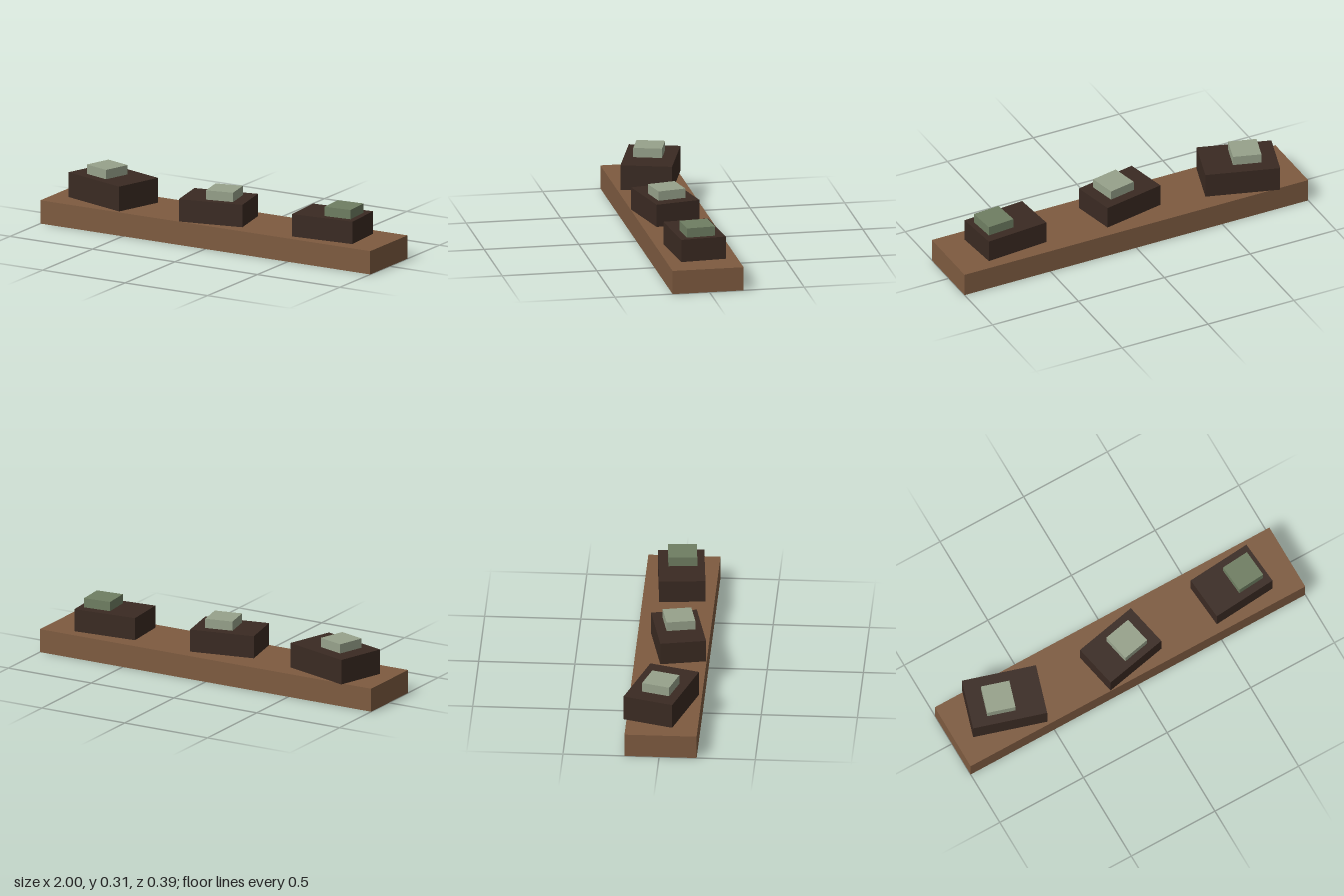
import * as THREE from 'three';

const material = (name, color) => {
  const m = new THREE.MeshStandardMaterial({ color, side: THREE.DoubleSide });
  m.name = name;
  return m;
};

// Box standing on y = 0, without its bottom face
function openBox(w, h, d) {
  const geo = new THREE.BoxGeometry(w, h, d).translate(0, h / 2, 0);
  const index = Array.from(geo.index.array);
  index.splice(18, 6); // the -y face
  geo.setIndex(index);
  geo.clearGroups();
  return geo;
}

export function createModel() {
  const model = new THREE.Group();
  model.name = 'ledgeWithBlocks';

  const wood = material('wood brown', 0x7e5b40);
  const dark = material('dark brown', 0x3a2a22);
  const paleGreen = material('pale green', 0x97a28b);
  const mossGreen = material('moss green', 0x6f7e62);

  const add = (name, size, mat, x, y, z, turn = 0) => {
    const mesh = new THREE.Mesh(openBox(...size), mat);
    mesh.name = name;
    mesh.position.set(x, y, z);
    mesh.rotation.y = turn;
    model.add(mesh);
  };

  // Long hollow plank
  const top = 0.125;
  add('plank', [2, top, 0.375], wood, 0, 0, 0.0075);

  // Turned blocks, each with a small square cap
  const blocks = [
    { side: 'right', size: [0.394, 0.133, 0.27], at: [-0.681, -0.0085], turn: -0.3, cap: [-0.718, -0.009], mat: paleGreen },
    { side: 'middle', size: [0.35, 0.12, 0.24], at: [-0.0145, 0.04], turn: 0.2, cap: [0.0215, 0.04], mat: paleGreen },
    { side: 'left', size: [0.35, 0.12, 0.24], at: [0.663, 0.0145], turn: 0.08, cap: [0.732, 0.0145], mat: mossGreen },
  ];
  for (const { side, size, at, turn, cap, mat } of blocks) {
    add(side + 'Block', size, dark, at[0], top, at[1], turn);
    add(side + 'Cap', [0.15, 0.05, 0.15], mat, cap[0], top + size[1], cap[1], turn);
  }
  return model;
}
